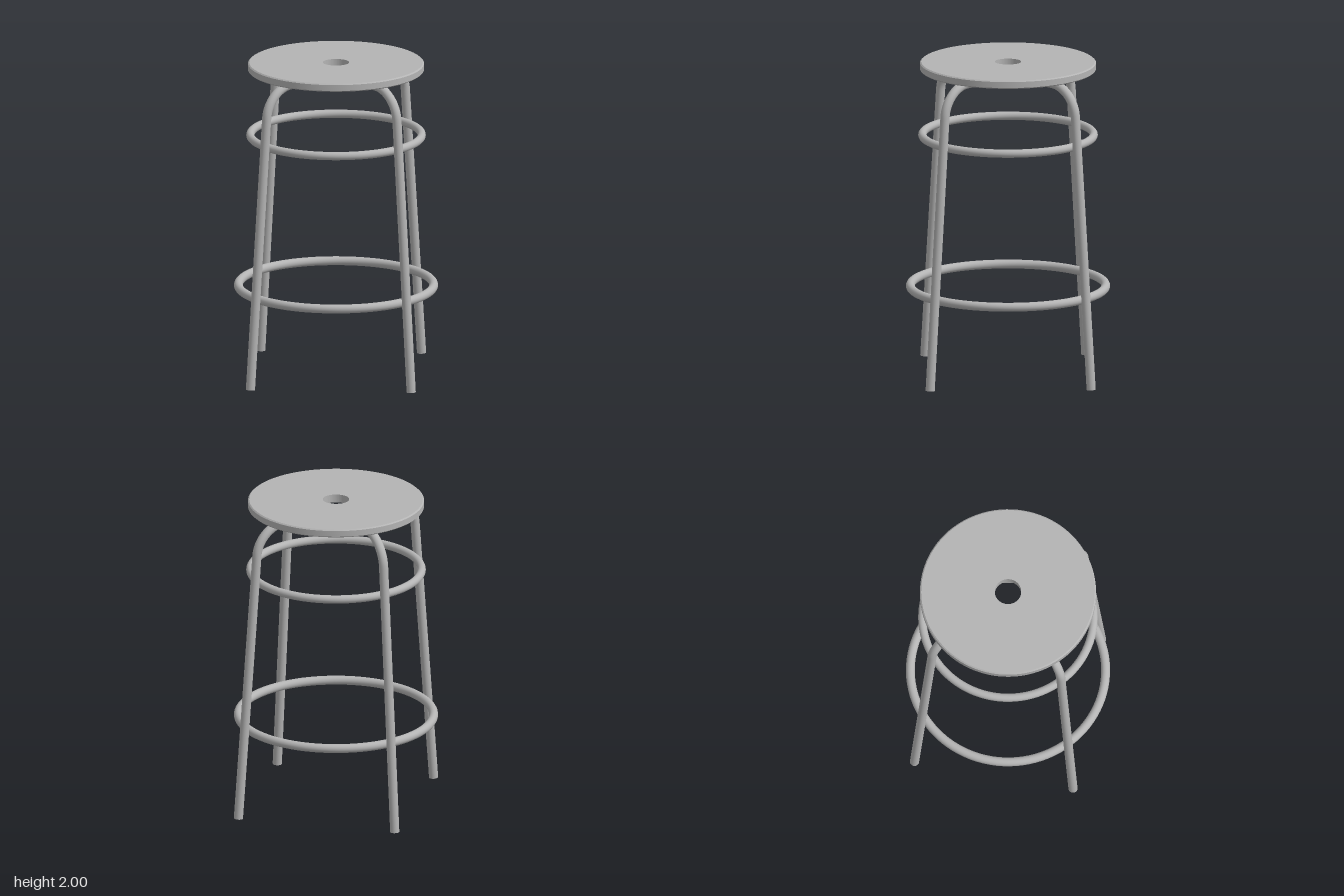
import * as THREE from 'three';
import { toCreasedNormals } from 'three/addons/utils/BufferGeometryUtils.js';

const TUBE = 0.029;
const v = (x, y) => new THREE.Vector3(x, y, 0);

// Centre line of one leg: splayed post, rounded bend, horizontal arm under the seat
function legPath() {
  const foot = v(0.714, 0.002), corner = v(0.564, 1.918), armEnd = v(0.1, 1.918);
  const bend = 0.185, k = 0.45;
  const down = foot.clone().sub(corner).normalize();
  const inward = v(-1, 0);
  const at = (dir, d) => corner.clone().addScaledVector(dir, d);
  const path = new THREE.CurvePath();
  path.add(new THREE.LineCurve3(foot, at(down, bend)));
  path.add(new THREE.CubicBezierCurve3(
    at(down, bend), at(down, bend * k), at(inward, bend * k), at(inward, bend)));
  path.add(new THREE.LineCurve3(at(inward, bend), armEnd));
  return path;
}

export function createModel() {
  const model = new THREE.Group();
  model.name = 'stool';
  const steel = new THREE.MeshStandardMaterial({ color: 0xb4b4b4 });
  steel.name = 'grey steel';

  const add = (parent, name, geometry) => {
    const mesh = new THREE.Mesh(geometry, steel);
    mesh.name = name;
    parent.add(mesh);
    return mesh;
  };

  // Round seat with a centre hole and slightly eased rim
  const profile = [
    [0.083, 1.948], [0.544, 1.948], [0.552, 1.955], [0.552, 1.993],
    [0.544, 2], [0.083, 2], [0.083, 1.948],
  ].map(([x, y]) => new THREE.Vector2(x, y));
  add(model, 'seat', toCreasedNormals(new THREE.LatheGeometry(profile, 96), 0.5));

  // Four bent tube legs with closed ends
  const path = legPath();
  const tube = new THREE.TubeGeometry(path, 110, TUBE, 20, false);
  const cap = new THREE.CircleGeometry(TUBE, 20);
  const forward = new THREE.Vector3(0, 0, 1);
  for (let i = 0; i < 4; i++) {
    const leg = new THREE.Group();
    leg.name = ['leftLeg', 'backLeg', 'rightLeg', 'frontLeg'][i];
    leg.rotation.y = i * Math.PI / 2;
    add(leg, 'legTube', tube);
    for (const [name, t, sign] of [['footCap', 0, -1], ['armCap', 1, 1]]) {
      const end = add(leg, name, cap);
      end.position.copy(path.getPoint(t));
      end.quaternion.setFromUnitVectors(forward, path.getTangent(t).multiplyScalar(sign));
    }
    model.add(leg);
  }

  // Bracing rings just inside the legs
  for (const [name, radius, thickness, y] of [
    ['upperRing', 0.537, 0.026, 1.53],
    ['footRing', 0.612, 0.028, 0.56],
  ]) {
    const ring = add(model, name, new THREE.TorusGeometry(radius, thickness, 20, 96));
    ring.rotation.x = Math.PI / 2;
    ring.position.y = y;
  }
  return model;
}
